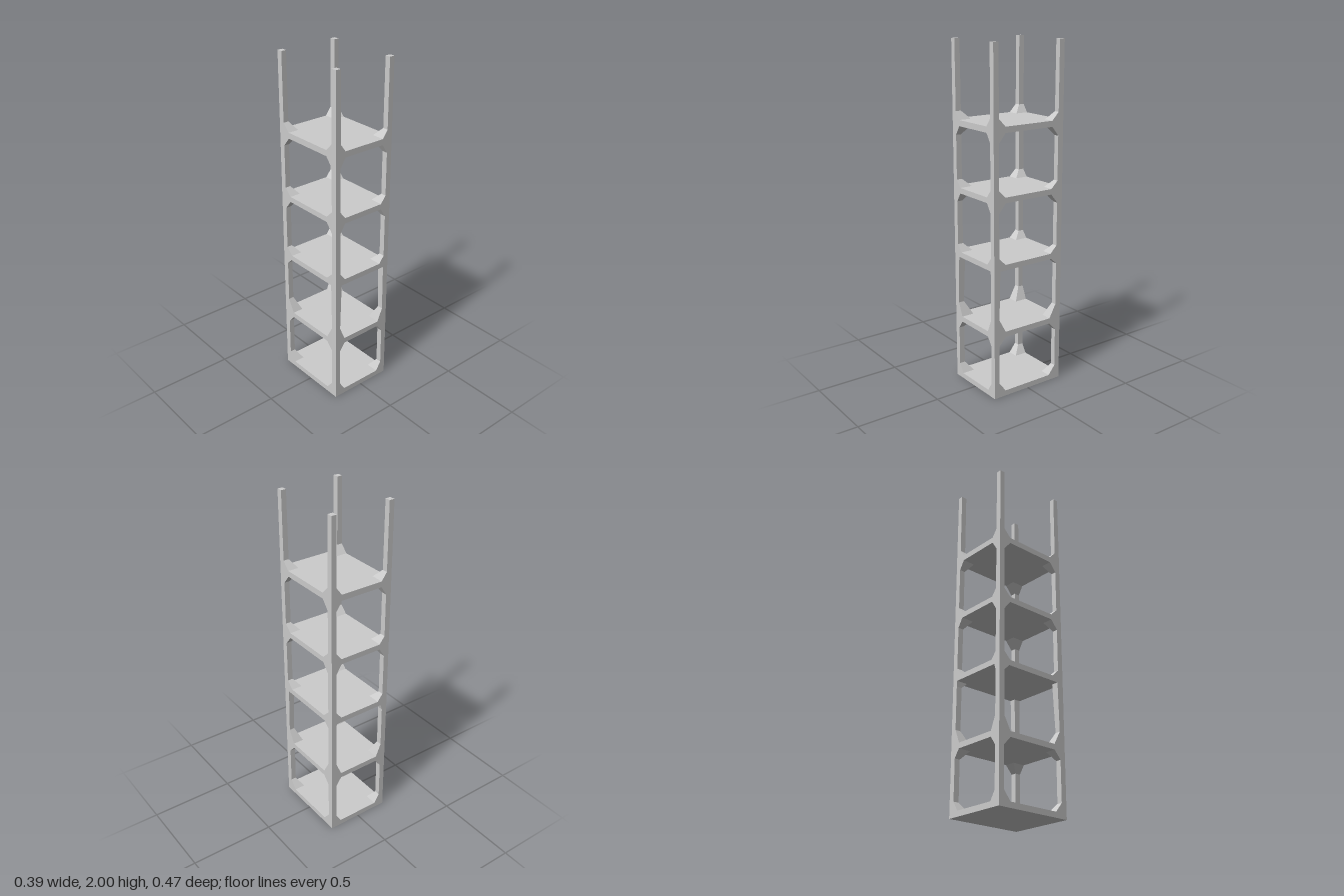
import * as THREE from 'three';

const X = 0.195, Z = 0.236;          // outer half width and half depth
const COL = [0.032, 0.034];          // plain column section
const HAUNCH = [0.065, 0.077];       // flared section where a column meets a slab
const LEVELS = [                     // slab bottom/top, haunch start below, haunch end above
  { bottom: 0, top: 0.032, below: null, above: 0.085 },
  { bottom: 0.366, top: 0.398, below: 0.318, above: 0.477 },
  { bottom: 0.764, top: 0.796, below: 0.73, above: 0.838 },
  { bottom: 1.146, top: 1.178, below: 1.093, above: 1.22 },
  { bottom: 1.528, top: 1.562, below: 1.475, above: 1.607 },
];
const TOP = 2;

// Rectangular loft that keeps its outer corner fixed; sections are [y, width, depth]
function loftColumn(sections, sx, sz) {
  const pos = [];
  const rings = sections.map(([y, w, d]) => {
    const ox = sx * X, oz = sz * Z, ix = sx * (X - w), iz = sz * (Z - d);
    const ring = [[ox, y, oz], [ox, y, iz], [ix, y, iz], [ix, y, oz]];
    return sx * sz > 0 ? ring : ring.reverse();
  });
  const quad = (a, b, c, d) => pos.push(...a, ...b, ...c, ...a, ...c, ...d);
  for (let i = 0; i < rings.length - 1; i++) {
    const lo = rings[i], hi = rings[i + 1];
    for (let k = 0; k < 4; k++) {
      const n = (k + 1) % 4;
      quad(lo[k], lo[n], hi[n], hi[k]);
    }
  }
  const first = rings[0], last = rings[rings.length - 1];
  quad(...last);
  quad(first[3], first[2], first[1], first[0]);
  const geo = new THREE.BufferGeometry();
  geo.setAttribute('position', new THREE.Float32BufferAttribute(pos, 3));
  geo.computeVertexNormals();
  return geo;
}

// Column outline from base to tip, flaring above and below each slab
function columnSections(sx, sz) {
  const sections = [];
  LEVELS.forEach((l, i) => {
    if (i === 2) {
      // The middle slab has a long taper in front and a one-way haunch behind
      if (sz < 0) sections.push([l.below, ...COL]);
      sections.push([l.bottom, sx < 0 ? 0.042 : 0.034, sz > 0 ? 0.041 : 0.07]);
    } else {
      if (l.below) sections.push([l.below, ...COL]);
      sections.push([l.bottom, ...HAUNCH]);
    }
    sections.push([l.top, ...HAUNCH], [l.above, ...COL]);
  });
  sections.push([TOP, 0.031, 0.033]);
  return sections;
}

export function createModel() {
  const model = new THREE.Group();
  model.name = 'towerFrame';
  const material = new THREE.MeshStandardMaterial({ color: 0xcccccc, flatShading: true });

  // Floor slabs
  LEVELS.forEach(({ bottom, top }, i) => {
    const slab = new THREE.Mesh(new THREE.BoxGeometry(2 * X, top - bottom, 2 * Z), material);
    slab.position.y = (bottom + top) / 2;
    slab.name = i === 0 ? 'baseSlab' : `floorSlab${i}`;
    model.add(slab);
  });

  // Corner columns
  for (const sx of [-1, 1]) for (const sz of [-1, 1]) {
    const column = new THREE.Mesh(loftColumn(columnSections(sx, sz), sx, sz), material);
    column.name = `${sz > 0 ? 'front' : 'back'}${sx > 0 ? 'Left' : 'Right'}Column`;
    model.add(column);
  }
  return model;
}
